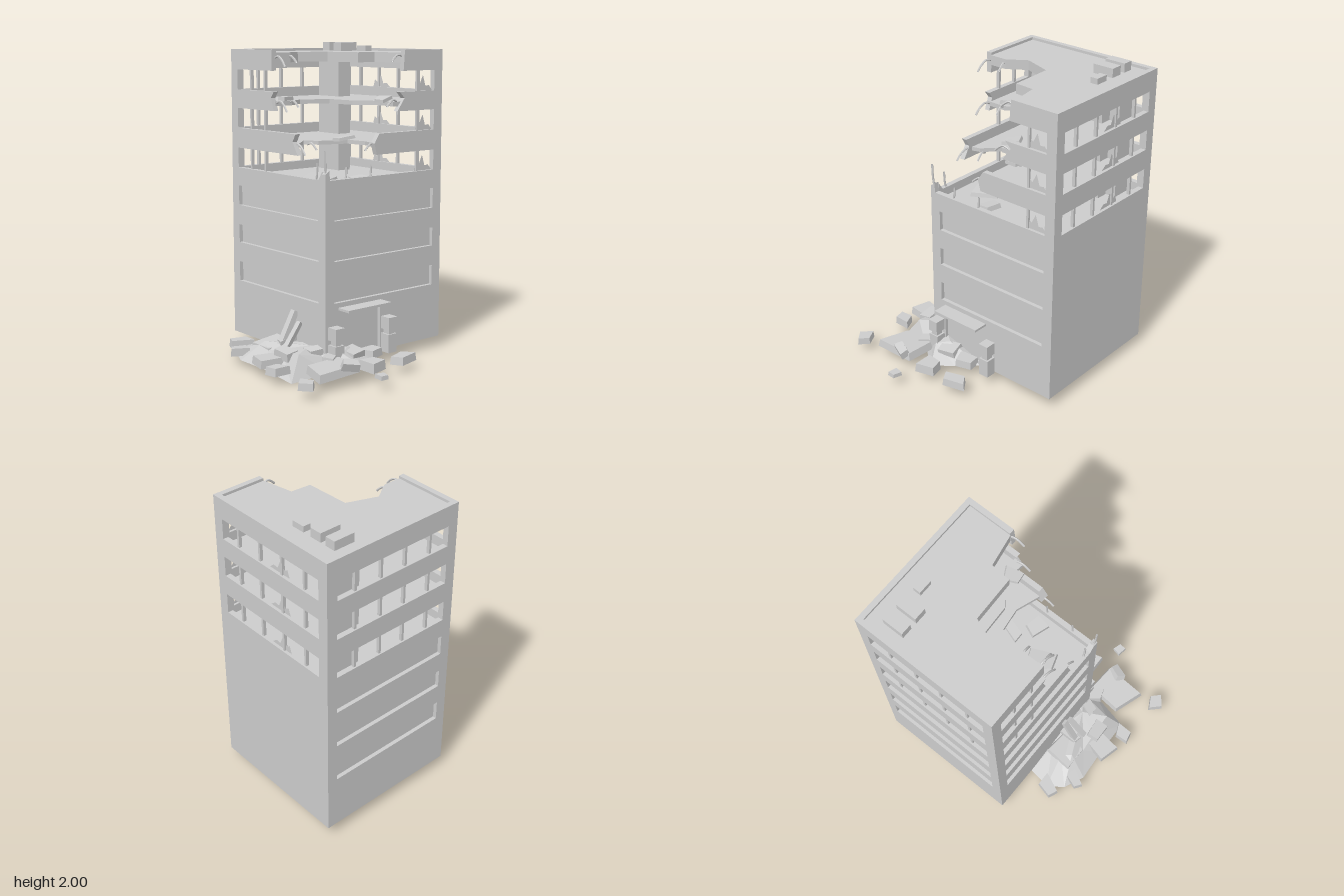
import * as THREE from 'three';

const X0 = -0.27, X1 = 0.70, Z0 = -0.73, Z1 = 0.24, T = 0.035;
const mat = new THREE.MeshStandardMaterial({ color: 0xcccccc, flatShading: true, side: THREE.DoubleSide });
const WINDOWS = [[0.43, 0.56], [0.69, 0.81], [0.94, 1.07]];
const OPENINGS = [[1.19, 1.32], [1.45, 1.58], [1.70, 1.83]];

export function createModel() {
  const model = new THREE.Group();
  const add = (name, geo, parent = model) => {
    const m = new THREE.Mesh(geo, mat);
    m.name = name;
    parent.add(m);
    return m;
  };
  // box given by its minimum and maximum corner
  const box = (name, x0, x1, y0, y1, z0, z1) => add(name,
    new THREE.BoxGeometry(x1 - x0, y1 - y0, z1 - z0).translate((x0 + x1) / 2, (y0 + y1) / 2, (z0 + z1) / 2));
  const shapeOf = pts => new THREE.Shape(pts.map(p => new THREE.Vector2(...p)));
  const rect = (a, b, c, d) => [[a, c], [b, c], [b, d], [a, d]];
  const extrude = (pts, holes, depth) => {
    const s = shapeOf(pts);
    holes.forEach(h => s.holes.push(new THREE.Path(h.map(p => new THREE.Vector2(...p)))));
    return new THREE.ExtrudeGeometry(s, { depth, bevelEnabled: false });
  };
  let seed = 7;
  const rnd = () => { seed = (seed * 16807) % 2147483647; return seed / 2147483647 - 0.5; };

  // walls: the front and left ones are torn open above y = 1.19
  const a = Z0 + T, b = Z1 - T;
  const frontPts = [[X0, .07], [X1, .07], [X1, 1.96], [.37, 1.96], [.36, 1.83], [.63, 1.83], [.63, 1.70],
    [.33, 1.70], [.37, 1.66], [.31, 1.58], [.63, 1.58], [.63, 1.45], [.16, 1.45], [.12, 1.39], [.14, 1.32],
    [.63, 1.32], [.63, 1.19], [-.235, 1.19], [-.24, 1.25], [X0, 1.23]];
  const leftPts = [[a, .07], [b, .07], [b, 1.24], [.17, 1.19], [-.66, 1.19], [-.66, 1.32], [-.03, 1.32], [-.08, 1.4],
    [-.05, 1.45], [-.66, 1.45], [-.66, 1.58], [-.27, 1.58], [-.3, 1.66], [-.27, 1.70], [-.66, 1.70],
    [-.66, 1.83], [-.29, 1.83], [-.29, 1.96], [a, 1.96]];
  const holesFor = (list, u0, u1) => list.map(([y0, y1]) => rect(u0, u1, y0, y1));
  const door = rect(-.17, .175, .075, .385);
  add('frontWall', extrude(frontPts, [...holesFor(WINDOWS, -.2, .63), door], T).translate(0, 0, b));
  add('backWall', extrude(rect(X0, X1, .07, 1.96), holesFor([...WINDOWS, ...OPENINGS], -.2, .63), T).translate(0, 0, Z0));
  add('leftWall', extrude(leftPts, holesFor(WINDOWS, -.66, .17), T).rotateY(-Math.PI / 2).translate(X0 + T, 0, 0));
  add('rightWall', extrude(rect(a, b, .07, 1.96), holesFor(OPENINGS, -.66, .17), T).rotateY(-Math.PI / 2).translate(X1, 0, 0));

  // blind lower windows and door, set back in the walls
  for (const [y0, y1] of WINDOWS) {
    box('frontWindowPanel', -.2, .63, y0, y1, b, b + .01);
    box('backWindowPanel', -.2, .63, y0, y1, a - .01, a);
    box('leftWindowPanel', X0 + T - .01, X0 + T, y0, y1, -.66, .17);
  }
  box('doorPanel', -.17, .175, .075, .385, b, b + .012);

  // thin mullions in the upper openings, plus rails on the right side
  for (const [y0, y1] of OPENINGS) {
    for (const x of [-.07, .12, .30, .49]) box('backMullion', x - .008, x + .008, y0, y1, Z0 + .01, Z0 + .03);
    for (const z of [.04, -.15, -.34, -.53]) box('rightMullion', X1 - .03, X1 - .01, y0, y1, z - .008, z + .008);
    for (const z of [-.53, -.38]) box('leftMullion', X0 + .01, X0 + .03, y0, y1, z - .008, z + .008);
    box('frontMullion', .485, .5, y0, y1, b + .01, b + .025);
  }

  // floor slabs, listed as the torn edge from the left wall round to the front wall
  const slab = (name, edge, y, h, inset = .02) => {
    const pts = [...edge, [X1 - inset, Z1 - inset], [X1 - inset, Z0 + inset], [X0 + inset, Z0 + inset]];
    const g = extrude(pts.map(([x, z]) => [x, -z]), [], h).rotateX(-Math.PI / 2).translate(0, y, 0);
    return add(name, g);
  };
  const roofEdge = [[-.25, -.29], [-.12, -.29], [0, -.37], [.19, -.30], [.20, -.01], [.33, 0], [.37, .22]];
  slab('lowerFloor', [[-.25, .22]], 1.11, .025);
  slab('middleFloor', [[-.25, -.1], [-.18, -.12], [-.06, -.24], [0, -.16], [.19, -.1], [.21, .05], [.15, .22]], 1.36, .025);
  slab('upperFloor', [[-.25, -.28], [-.12, -.28], [0, -.35], [.19, -.28], [.2, -.06], [.31, .08], [.29, .22]], 1.61, .028);
  slab('roofDeck', roofEdge, 1.88, .063);

  // stair core and roof units
  box('stairCore', .41, .58, 1.12, 1.9, -.66, -.53);
  box('coreColumn', .41, .51, 1.12, 1.9, -.53, -.45);
  box('roofUnit', .43, .57, 1.94, 2.0, -.64, -.57);
  box('roofUnit', .43, .57, 1.94, 2.0, -.53, -.45);
  box('roofVent', .52, .57, 1.94, 1.98, -.39, -.30);

  // entrance canopy and gate posts
  box('canopy', -.17, .18, .385, .40, Z1, .34);
  for (const x of [-.215, .22]) {
    box('postBase', x - .035, x + .035, .06, .18, Z1, .31);
    box('postNeck', x - .022, x + .022, .18, .21, Z1 + .01, .30);
    box('postHead', x - .035, x + .035, .21, .29, Z1, .315);
  }

  // bent reinforcing rods at the torn edges
  const rod = (x, y, z, dx, dz, up) => add('bentRod', new THREE.TubeGeometry(new THREE.CatmullRomCurve3([
    [0, 0, 0], [dx * .4, .01, dz * .4], [dx * .8, up * .4, dz * .8], [dx, up, dz]
  ].map(p => new THREE.Vector3(x + p[0], y + p[1], z + p[2]))), 8, .007, 5));
  for (const [y, z] of [[1.91, -.3], [1.63, -.28], [1.375, -.1]]) {
    rod(-.24, y, z, -.01, .12, -.05);
    rod(-.13, y, z - .01, .01, .08, -.03);
  }
  for (const [x, y] of [[.37, 1.92], [.33, 1.64], [.15, 1.38]]) rod(x, y, .21, -.09, .01, -.03);
  rod(-.25, 1.22, .22, -.015, .01, .15);
  rod(-.25, 1.18, .12, .0, .02, .11);
  rod(-.1, 1.18, .22, .01, 0, .08);
  rod(.1, 1.18, .22, .01, 0, .08);

  // jagged shards left standing on the sills
  const shard = (w, h) => shapeOf([[0, 0], [w, 0], [w * .8, h * .35], [w * .6, h * .3], [w * .45, h], [w * .25, h * .4], [w * .1, h * .6]]);
  for (const [y0] of OPENINGS) {
    add('glassShard', new THREE.ShapeGeometry(shard(.15, .1)).translate(.48, y0, b + .015));
    add('glassShard', new THREE.ShapeGeometry(shard(.17, .08)).rotateY(-Math.PI / 2).translate(X1 - .02, y0, -.4));
  }

  // irregular broken block: a box whose corners are shifted
  const block = (name, x, y, z, w, h, d, turn, tiltX = 0, tiltZ = 0, parent = model) => {
    const g = new THREE.BoxGeometry(w, h, d), p = g.attributes.position;
    const shift = {};
    for (let i = 0; i < p.count; i++) {
      const k = [p.getX(i) > 0, p.getZ(i) > 0].join();
      const s = shift[k] ??= [rnd() * w * .35, rnd() * d * .35];
      const taper = p.getY(i) > 0 ? .92 : 1;
      p.setXYZ(i, (p.getX(i) + s[0]) * taper, p.getY(i), (p.getZ(i) + s[1]) * taper);
    }
    const m = add(name, g, parent);
    m.position.set(x, y, z);
    m.rotation.set(tiltX, turn, tiltZ);
  };

  // debris lying on the torn floors
  block('floorDebris', -.06, 1.16, -.08, .2, .025, .16, .5, .1);
  block('floorDebris', .1, 1.16, .11, .09, .03, .11, -.2, 0, .15);
  block('floorDebris', -.12, 1.65, -.35, .1, .025, .08, .3);
  block('floorDebris', .28, 1.65, .12, .1, .02, .09, .4, 0, .2);
  block('floorDebris', .13, 1.40, -.07, .12, .02, .06, -.3, 0, .15);

  // rubble heap spread round the front left corner
  const C = [-.3, .12];
  const ring = [[-.27, -.41, .06], [-.42, -.43, .055], [-.52, -.36, .05], [-.58, -.22, .04], [-.56, 0, .03], [-.55, .26, 0],
    [-.28, .31, .03], [-.12, .44, .05], [.01, .35, .06], [.14, .25, .07], [-.2, .2, .06], [-.24, -.1, .06]];
  const n = ring.length, pos = [], idx = [];
  ring.forEach(([x, z, y]) => pos.push(x, y, z));
  ring.forEach(([x, z], i) => pos.push(C[0] + (x - C[0]) * .6, .11 + (i % 3) * .02, C[1] + (z - C[1]) * .6));
  pos.push(C[0], .16, C[1], C[0], .03, C[1]);
  for (let i = 0; i < n; i++) {
    const j = (i + 1) % n;
    idx.push(i, n + i, j, j, n + i, n + j, n + i, 2 * n, n + j, i, j, 2 * n + 1);
  }
  const heap = new THREE.BufferGeometry();
  heap.setAttribute('position', new THREE.Float32BufferAttribute(pos, 3));
  heap.setIndex(idx.reverse());
  heap.computeVertexNormals();
  add('rubbleHeap', heap);

  // broken blocks: x, y, z, width, height, depth, turn, tilts
  const rubble = new THREE.Group();
  rubble.name = 'rubbleBlocks';
  model.add(rubble);
  [[-.43, .08, -.43, .14, .05, .08, -.3], [-.55, .08, -.28, .11, .05, .08, -.5], [-.37, .12, -.15, .2, .04, .2, -.1, .05, .15],
    [-.56, .09, .02, .14, .05, .14, -.2], [-.46, .13, .09, .08, .05, .13, .1, .1, .1], [-.6, .08, .19, .09, .05, .09, .2],
    [-.37, .09, .41, .23, .05, .2, -.2, 0, .06], [-.31, .13, .51, .09, .05, .06, -.3, .4], [-.64, .08, .53, .1, .045, .1, .7],
    [-.09, .08, .47, .1, .06, .12, .05], [.14, .08, .48, .15, .05, .09, .3], [-.2, .08, .68, .06, .025, .07, -.3],
    [-.31, .13, .18, .1, .06, .1, -.3, .2, .2], [-.34, .16, -.07, .12, .04, .05, .1, 0, .2], [-.28, .1, .29, .12, .06, .08, .6],
    [.05, .09, .29, .12, .05, .09, .1], [-.1, .11, .29, .12, .05, .09, .3, .2],
  ].forEach(([x, y, z, w, h, d, t, u = 0, v = 0]) => block('rubbleBlock', x, y, z, w, h, d, t, u, v, rubble));

  // beams leaning on the left wall
  block('leaningBeam', -.33, .24, -.06, .035, .23, .035, 0, 0, -.5, rubble);
  block('leaningBeam', -.34, .2, 0, .03, .2, .03, .2, .1, -.7, rubble);
  return model;
}
